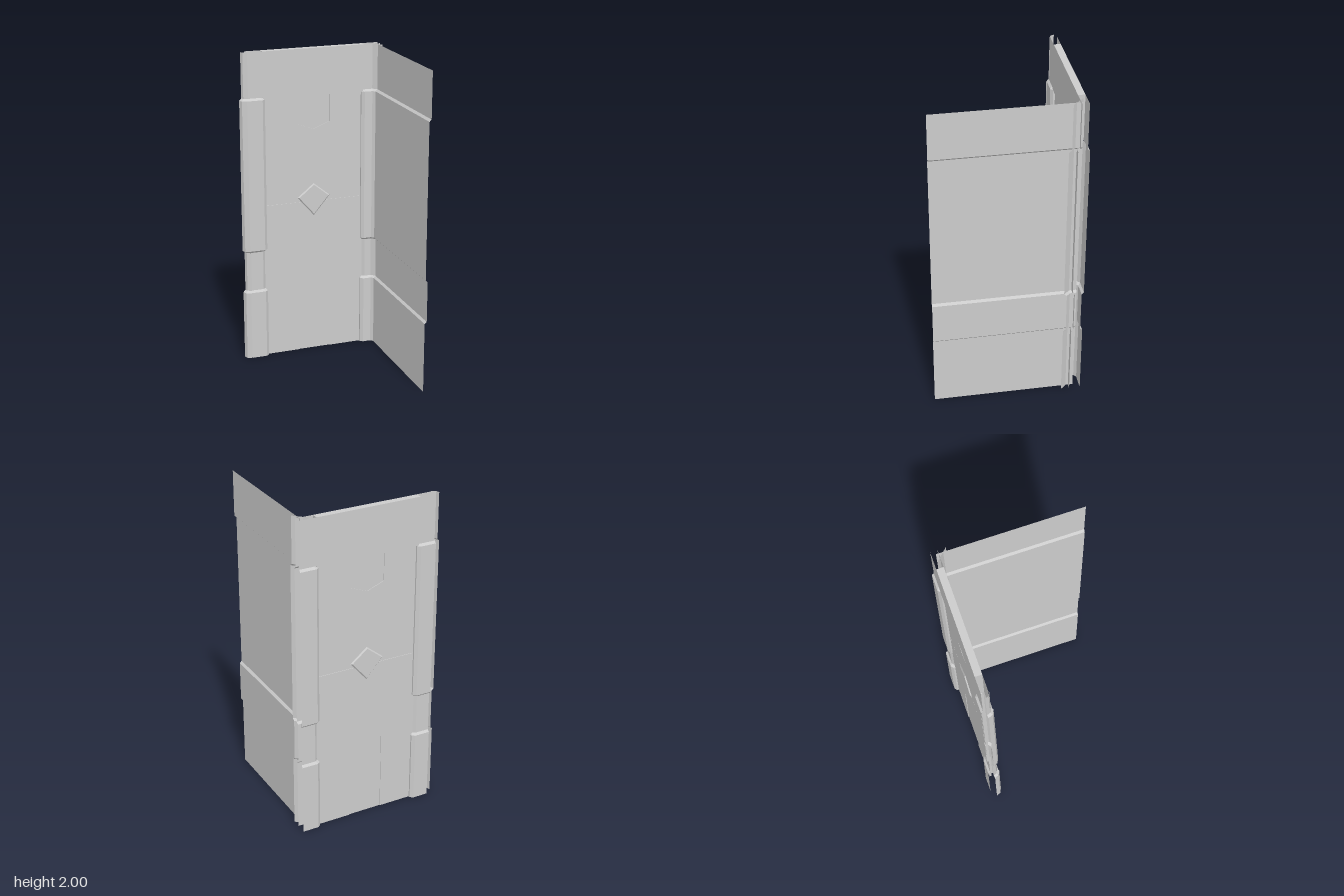
import * as THREE from 'three';

const ZC = -0.42;             // mid plane of the back wall
const XC = 0.018;             // mid line of the door
const OUT = 0.034, IN = 0.021; // raised and recessed half thickness of the frame
const DOOR = 0.008;           // half thickness of the door

const mat = new THREE.MeshStandardMaterial({ color: 0xcccccc, flatShading: true, side: THREE.DoubleSide });

function add(parent, name, geometry) {
  const mesh = new THREE.Mesh(geometry, mat);
  mesh.name = name;
  parent.add(mesh);
  return mesh;
}

function box(parent, name, x0, x1, y0, y1, z0, z1) {
  const mesh = add(parent, name, new THREE.BoxGeometry(x1 - x0, y1 - y0, z1 - z0));
  mesh.position.set((x0 + x1) / 2, (y0 + y1) / 2, (z0 + z1) / 2);
  return mesh;
}

// Vertical sheet that steps between a raised and a recessed plan outline ([x, z] points)
function steppedSheet(raised, recessed, top = 2) {
  const rows = [
    [0, raised], [0.45, raised], [0.463, recessed], [0.718, recessed],
    [0.731, raised], [1.702, raised], [1.715, recessed],
  ];
  if (top > 1.715) rows.push([top, recessed]);
  const pos = [];
  for (let r = 0; r + 1 < rows.length; r++) {
    const [y0, p] = rows[r], [y1, q] = rows[r + 1];
    for (let i = 0; i + 1 < p.length; i++) {
      const a = [p[i][0], y0, p[i][1]], b = [p[i + 1][0], y0, p[i + 1][1]];
      const c = [q[i + 1][0], y1, q[i + 1][1]], d = [q[i][0], y1, q[i][1]];
      pos.push(...a, ...b, ...c, ...a, ...c, ...d);
    }
  }
  const g = new THREE.BufferGeometry();
  g.setAttribute('position', new THREE.Float32BufferAttribute(pos, 3));
  g.computeVertexNormals();
  return g;
}

// Slab cut from an outline, centred on the wall's mid plane
function slab(parent, name, points, half, bevel = 0) {
  const shape = new THREE.Shape(points.map(([x, y]) => new THREE.Vector2(x, y)));
  const g = new THREE.ExtrudeGeometry(shape, {
    depth: 2 * (half - bevel), bevelEnabled: bevel > 0,
    bevelThickness: bevel, bevelSize: bevel, bevelOffset: -bevel, bevelSegments: 1,
  });
  g.translate(0, 0, ZC - half + bevel);
  return add(parent, name, g);
}

export function createModel() {
  const model = new THREE.Group();
  model.name = 'wallCorner';

  // Lintel: solid beam with sheet wings to both ends, front and back
  const lintel = new THREE.Group();
  lintel.name = 'lintel';
  model.add(lintel);
  box(lintel, 'lintelBeam', -0.31, 0.346, 1.705, 2, ZC - IN, ZC + IN);
  for (const s of [-1, 1]) {
    for (const [x0, x1] of [[-0.413, -0.31], [0.346, 0.455]]) {
      const wing = add(lintel, 'lintelWing', new THREE.PlaneGeometry(x1 - x0, 0.285));
      wing.position.set((x0 + x1) / 2, 1.8575, ZC + s * IN);
    }
  }

  // Door frame pillars, mirrored left to right and front to back
  for (const side of [-1, 1]) {
    for (const face of [-1, 1]) {
      const end = side < 0 ? -0.415 : 0.455;
      const outline = (inner, d) => [
        [end, ZC + face * d],
        [XC + side * (inner + 0.018), ZC + face * d],
        [XC + side * inner, ZC + face * (d - 0.015)],
        [XC + side * inner, ZC],
      ];
      add(model, face > 0 ? 'frontPillar' : 'backPillar',
        steppedSheet(outline(0.317, OUT), outline(0.328, IN), 1.715));
    }
  }

  // Door: two leaves with pentagonal recesses around a thin core
  const door = new THREE.Group();
  door.name = 'door';
  model.add(door);
  const xl = -0.315, xr = 0.35, nl = -0.09, nr = 0.125;
  box(door, 'doorCore', xl, xr, 0, 1.71, ZC - 0.004, ZC + 0.004);
  slab(door, 'lowerLeaf', [
    [xl, 0], [nl, 0], [nl, 0.5], [XC, 0.54], [nr, 0.5], [nr, 0],
    [xr, 0], [xr, 1.014], [xl, 1.014],
  ], DOOR);
  slab(door, 'upperLeaf', [
    [xl, 1.02], [xr, 1.02], [xr, 1.71], [nr, 1.71], [nr, 1.528],
    [XC, 1.486], [nl, 1.528], [nl, 1.71], [xl, 1.71],
  ], DOOR);
  slab(door, 'doorDiamond', [[nl, 1.045], [XC, 0.92], [nr, 1.045], [XC, 1.132]], 0.016, 0.007);

  // Rounded trim at the free end of the wall
  add(model, 'endTrim', steppedSheet(
    [[-0.456, -0.423], [-0.446, -0.396], [-0.417, -0.382]],
    [[-0.442, -0.427], [-0.434, -0.406], [-0.408, -0.394]],
  ));

  // Diagonal sheet across the inner corner
  add(model, 'cornerDiagonal', steppedSheet(
    [[0.372, -0.417], [0.455, -0.334]],
    [[0.384, -0.422], [0.455, -0.351]],
  ));

  // Side wall sheet
  add(model, 'sideWall', steppedSheet(
    [[0.419, -0.415], [0.419, 0.455]],
    [[0.432, -0.415], [0.432, 0.455]],
  ));

  return model;
}
